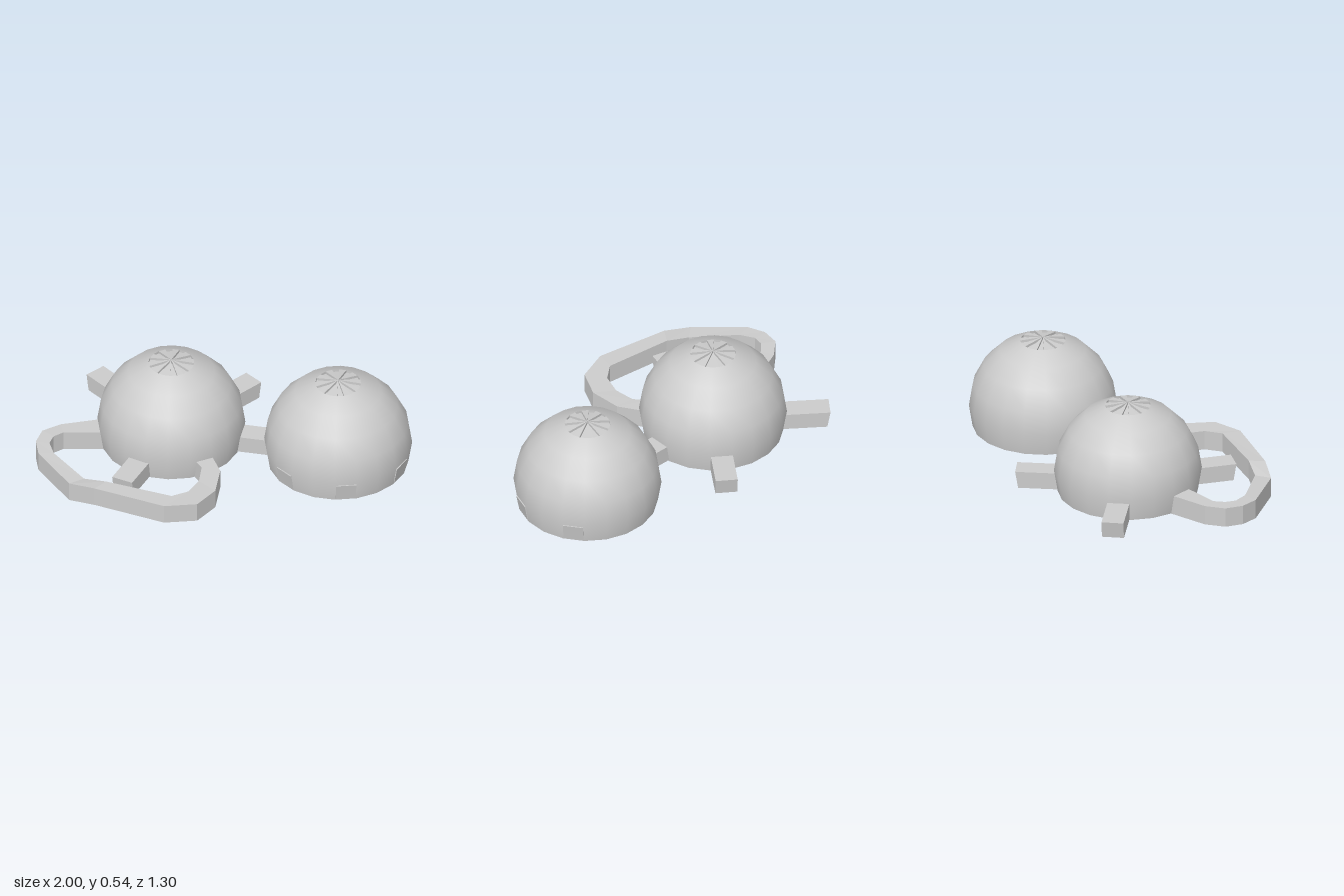
import * as THREE from 'three';

const smooth = new THREE.MeshStandardMaterial({ color: 0xcccccc });
const flat = new THREE.MeshStandardMaterial({ color: 0xcccccc, flatShading: true, side: THREE.DoubleSide });
const SEG = 20, STEP = Math.PI / 10, R = 0.4, CY = 0.145;

function add(parent, name, geometry, material) {
  const mesh = new THREE.Mesh(geometry, material);
  mesh.name = name;
  parent.add(mesh);
  return mesh;
}

// Flat-faced geometry from four-cornered faces
function quads(list) {
  const pos = [];
  for (const [a, b, c, d] of list) pos.push(...a, ...b, ...c, ...a, ...c, ...d);
  const g = new THREE.BufferGeometry();
  g.setAttribute('position', new THREE.Float32BufferAttribute(pos, 3));
  g.computeVertexNormals();
  return g;
}

// Shallow cap with alternate wedges sunk as grooves
function grooveCap() {
  const r = R * Math.sin(STEP), yRim = CY + R * Math.cos(STEP), yTop = CY + R, drop = 0.014;
  const rim = (k, d) => {
    const t = (k - 0.5) * STEP;
    return [r * Math.cos(t), yRim - d, r * Math.sin(t)];
  };
  const faces = [];
  for (let k = 0; k < SEG; k++) {
    const d = k % 2 ? 0 : drop;
    const apex = [0, yTop - d, 0];
    faces.push([apex, rim(k + 1, d), rim(k, d), apex]);
    // side wall between a raised and a sunk wedge
    faces.push([[0, yTop, 0], rim(k, 0), rim(k, drop), [0, yTop - drop, 0]]);
    if (d) faces.push([rim(k, 0), rim(k + 1, 0), rim(k + 1, d), rim(k, d)]);
  }
  return quads(faces);
}

// Dome: sphere cut a little below its equator, with flat base
function dome(name, x) {
  const g = new THREE.Group();
  g.name = name;
  g.position.set(x, 0, -0.125);
  const profile = [];
  for (let i = -1; i <= 4; i++)
    profile.push(new THREE.Vector2(R * Math.cos(i * STEP), CY + R * Math.sin(i * STEP)));
  add(g, 'shell', new THREE.LatheGeometry(profile, SEG, STEP / 2), smooth);
  add(g, 'groovedTop', grooveCap(), flat);
  const base = new THREE.CircleGeometry(profile[0].x, SEG, STEP / 2);
  add(g, 'base', base.rotateX(Math.PI / 2).translate(0, profile[0].y, 0), flat);
  return g;
}

// Radial bar with a slightly slanted outer end; degrees run from +x to +z
function bar(parent, name, degrees, bottomEnd, topEnd, width = 0.12) {
  const s = new THREE.Shape([
    new THREE.Vector2(0.3, 0.03), new THREE.Vector2(bottomEnd, 0.03),
    new THREE.Vector2(topEnd, 0.125), new THREE.Vector2(0.3, 0.125),
  ]);
  const g = new THREE.ExtrudeGeometry(s, { depth: width, bevelEnabled: false });
  g.translate(0, 0, -width / 2);
  add(parent, name, g, flat).rotation.y = -THREE.MathUtils.degToRad(degrees);
}

// Curved handle: outer x, outer z, inner x, inner z, bottom height
function handle() {
  const path = [
    [-0.58, -0.12, -0.58, 0.03, 0.02], [-0.71, -0.065, -0.68, 0.05, 0.02],
    [-0.9, 0.02, -0.87, 0.09, 0.02], [-0.985, 0.1, -0.915, 0.14, 0.022],
    [-1, 0.2, -0.925, 0.2, 0.02], [-0.965, 0.3, -0.885, 0.28, 0.016],
    [-0.75, 0.52, -0.68, 0.46, 0.003], [-0.6, 0.57, -0.55, 0.495, 0.028],
    [-0.2, 0.645, -0.18, 0.545, 0.022], [-0.03, 0.585, -0.1, 0.48, 0.018],
    [0.04, 0.44, -0.065, 0.37, 0.015], [0.03, 0.26, -0.075, 0.25, 0.018],
    [-0.03, 0.16, -0.13, 0.19, 0.02], [-0.13, 0.02, -0.24, 0.06, 0.02],
  ];
  const rings = path.map(([ox, oz, ix, iz, y]) =>
    [[ox, y, oz], [ox, y + 0.11, oz], [ix, y + 0.11, iz], [ix, y, iz]]);
  const faces = [rings[0], [...rings.at(-1)].reverse()];
  for (let i = 0; i < rings.length - 1; i++)
    for (let k = 0; k < 4; k++) {
      const n = (k + 1) % 4;
      faces.push([rings[i][k], rings[i + 1][k], rings[i + 1][n], rings[i][n]]);
    }
  return quads(faces);
}

export function createModel() {
  const model = new THREE.Group();
  model.name = 'twinDomes';
  const right = dome('rightDome', -0.32);
  const left = dome('leftDome', 0.6);
  model.add(right, left);

  // Bars reaching out of the right dome
  bar(right, 'connector', 0, 0.6, 0.6);
  bar(right, 'backInnerBar', -54.5, 0.59, 0.606);
  bar(right, 'backOuterBar', 217.5, 0.615, 0.632);
  bar(right, 'frontBar', 105, 0.575, 0.591);

  // Bars ending almost flush with the left dome
  for (const degrees of [-36, 18, 72, 126]) bar(left, 'flushBar', degrees, 0.38, 0.398, 0.11);

  add(model, 'handle', handle(), flat);
  return model;
}
